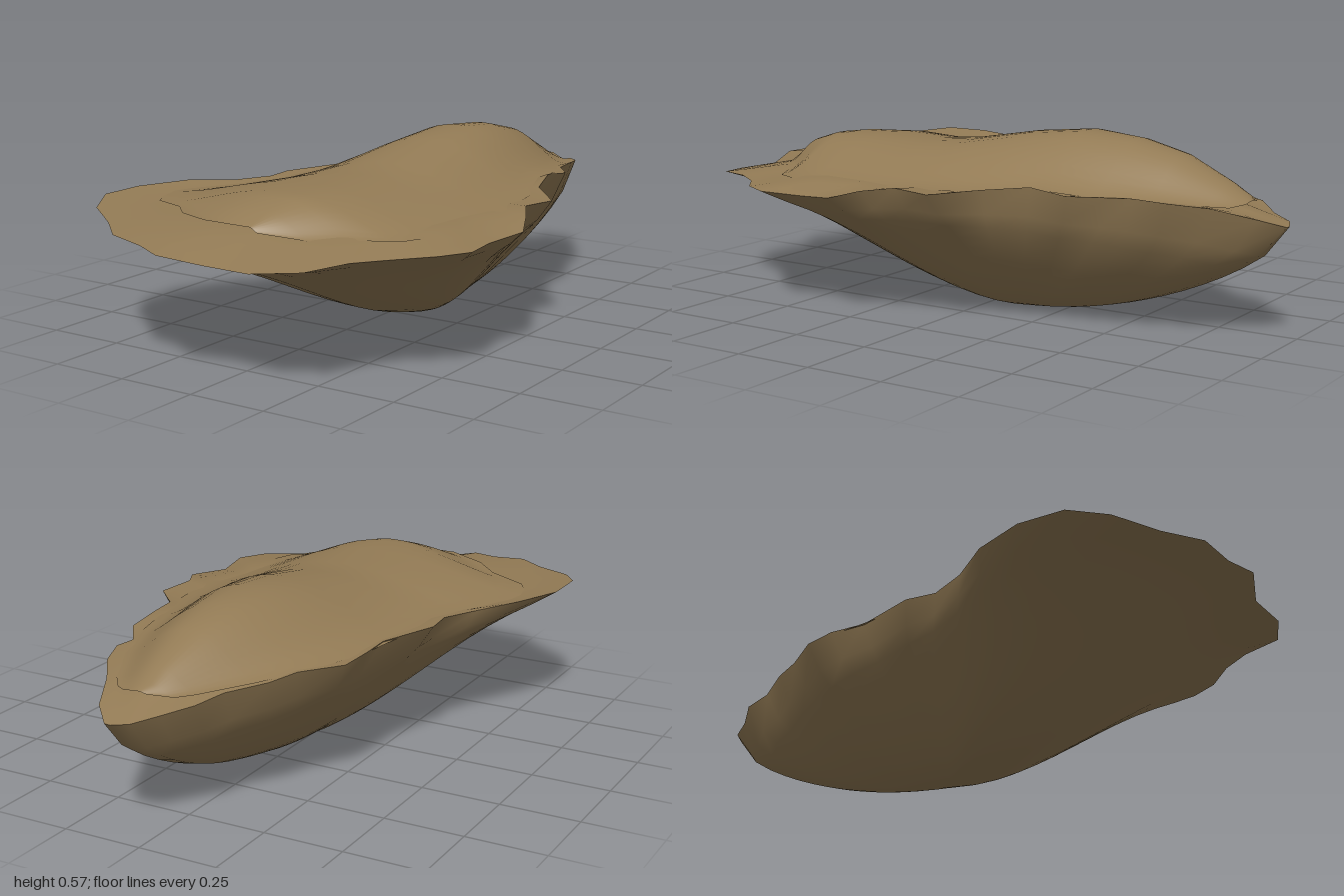
import * as THREE from 'three';
import { mergeVertices } from 'three/addons/utils/BufferGeometryUtils.js';

const { lerp, clamp, smoothstep } = THREE.MathUtils;

// Wavy rim seen from above, counter-clockwise from the back tip: x, y, z
const RIM = [
  [0.08, 0.345, -1], [0.03, 0.35, -0.98], [-0.02, 0.36, -0.91], [-0.09, 0.38, -0.84], [-0.12, 0.39, -0.74],
  [-0.2, 0.4, -0.63], [-0.24, 0.41, -0.54], [-0.33, 0.41, -0.42], [-0.345, 0.42, -0.32], [-0.34, 0.42, -0.2],
  [-0.41, 0.42, 0], [-0.4, 0.42, 0.1], [-0.46, 0.42, 0.22], [-0.55, 0.43, 0.34], [-0.615, 0.43, 0.5],
  [-0.615, 0.43, 0.65], [-0.55, 0.415, 0.76], [-0.42, 0.402, 0.85], [-0.32, 0.395, 0.94], [-0.2, 0.383, 0.96],
  [-0.11, 0.376, 1], [0.02, 0.355, 0.955], [0.18, 0.357, 0.965], [0.32, 0.368, 0.91], [0.38, 0.375, 0.78],
  [0.44, 0.373, 0.69], [0.55, 0.38, 0.6], [0.6, 0.38, 0.51], [0.575, 0.375, 0.37], [0.61, 0.386, 0.24],
  [0.57, 0.41, 0.15], [0.52, 0.42, 0.06], [0.54, 0.415, -0.07], [0.43, 0.425, -0.19], [0.39, 0.44, -0.33],
  [0.39, 0.425, -0.45], [0.32, 0.42, -0.55], [0.32, 0.425, -0.63], [0.29, 0.415, -0.72], [0.22, 0.4, -0.82],
  [0.16, 0.37, -0.94], [0.1, 0.346, -1],
];
const N = RIM.length;

// Rim with its waves averaged out, followed by the body of the cup
const SMOOTH_RIM = RIM.map((p, i) => p.map((_, k) => {
  let sum = 0;
  for (let d = -2; d <= 2; d++) sum += RIM[(i + d + N) % N][k];
  return sum / 5;
}));

// Upper shell cross-sections, front to back: z, left x, right x, left edge y, right edge y, ridge y
const DOME = [
  [0.78, -0.12, 0.07, 0.433, 0.418, 0.432], [0.72, -0.25, 0.22, 0.427, 0.4, 0.465],
  [0.64, -0.33, 0.31, 0.422, 0.4, 0.49], [0.58, -0.46, 0.42, 0.415, 0.4, 0.497],
  [0.45, -0.54, 0.47, 0.416, 0.398, 0.5], [0.25, -0.44, 0.5, 0.414, 0.398, 0.497],
  [0.1, -0.38, 0.48, 0.415, 0.41, 0.51], [-0.13, -0.36, 0.44, 0.415, 0.415, 0.55],
  [-0.33, -0.335, 0.37, 0.415, 0.43, 0.57], [-0.5, -0.26, 0.34, 0.408, 0.418, 0.555],
  [-0.65, -0.175, 0.28, 0.402, 0.414, 0.52], [-0.8, -0.07, 0.2, 0.395, 0.4, 0.45],
  [-0.85, -0.03, 0.16, 0.395, 0.395, 0.42], [-0.88, 0.04, 0.12, 0.402, 0.402, 0.406],
];

// Smooth surface through a grid of points
function gridSurface(rows, cols, pointAt, flip) {
  const pos = [], idx = [];
  for (let r = 0; r <= rows; r++) for (let c = 0; c <= cols; c++) pos.push(...pointAt(r, c));
  for (let r = 0; r < rows; r++) for (let c = 0; c < cols; c++) {
    const a = r * (cols + 1) + c, b = a + cols + 1;
    if (flip) idx.push(a, b + 1, b, a, a + 1, b + 1);
    else idx.push(a, b, b + 1, a, b + 1, a + 1);
  }
  let g = new THREE.BufferGeometry();
  g.setAttribute('position', new THREE.Float32BufferAttribute(pos, 3));
  g.setIndex(idx);
  g = mergeVertices(g, 1e-5);
  g.computeVertexNormals();
  return g;
}

export function createModel() {
  const group = new THREE.Group();
  const brown = new THREE.MeshStandardMaterial({ color: 0x937b55, side: THREE.DoubleSide });
  brown.name = 'shellBrown';
  const add = (name, geometry) => {
    const mesh = new THREE.Mesh(geometry, brown);
    mesh.name = name;
    group.add(mesh);
  };

  // Lowest point of the cupped half, from which its rings spread
  const cx = 0.06, cz = -0.12, rings = 14;

  // Cupped half: flaring skirt at the front, steep rounded wall at the back
  add('lowerShell', gridSurface(rings, N, (r, c) => {
    const t = r / rings, wave = Math.pow(t, 6);
    const [x, y, z] = RIM[c % N].map((v, k) => lerp(SMOOTH_RIM[c % N][k], v, wave));
    const front = lerp(t * t, smoothstep(t, 0, 1), 0.6 + 0.5 * Math.abs(x));
    const back = 1 - Math.pow(1 - Math.pow(t, 1.7), 0.6);
    return [lerp(cx, x, t), y * lerp(back, front, clamp((z + 1) / 2, 0, 1)), lerp(cz, z, t)];
  }, true));

  // Flat lip closing the cupped half
  add('rimLip', gridSurface(rings, N, (r, c) => {
    const [x, y, z] = RIM[c % N], t = r / rings;
    return [lerp(cx, x, t), lerp(y, 0.41, clamp((1 - t) * 4, 0, 1)), lerp(cz, z, t)];
  }, false));

  // Ridged upper half, flaring into the lip at the sides and lifting at the front and back
  const cols = 20;
  add('upperShell', gridSurface(DOME.length - 1, cols, (r, c) => {
    const [z, xl, xr, yl, yr, top] = DOME[r], u = c / cols * 2 - 1;
    const ridge = clamp(0.05, xl + 0.03, xr - 0.03);
    const fall = smoothstep(Math.pow(Math.abs(u), 1.2), 0, 1);
    return [lerp(ridge, u < 0 ? xl : xr, Math.abs(u)), lerp(top, u < 0 ? yl : yr, fall), z];
  }, true));

  return group;
}
